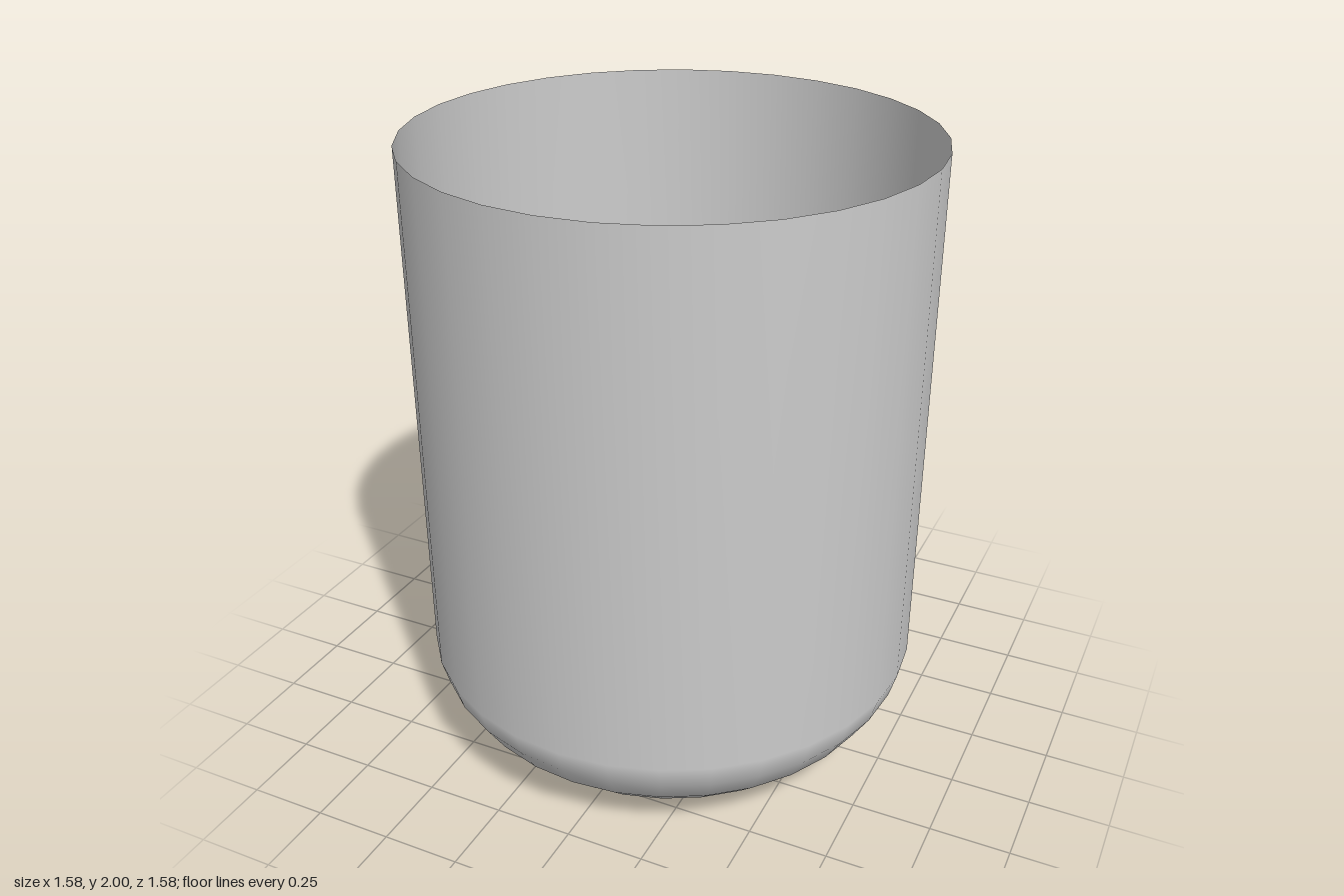
import * as THREE from 'three';

export function createModel() {
  const group = new THREE.Group();
  group.name = 'cup';

  // Thin open-topped shell: shallow base, rounded lower edge, straight wall
  const profile = [
    [0, 0], [0.13, 0], [0.62, 0.09], [0.71, 0.175], [0.767, 0.265], [0.79, 0.345], [0.79, 2],
  ].map(([r, y]) => new THREE.Vector2(r, y));

  const shell = new THREE.Mesh(
    new THREE.LatheGeometry(profile, 32),
    new THREE.MeshStandardMaterial({ color: 0xcccccc, side: THREE.DoubleSide }),
  );
  shell.name = 'shell';
  group.add(shell);
  return group;
}
